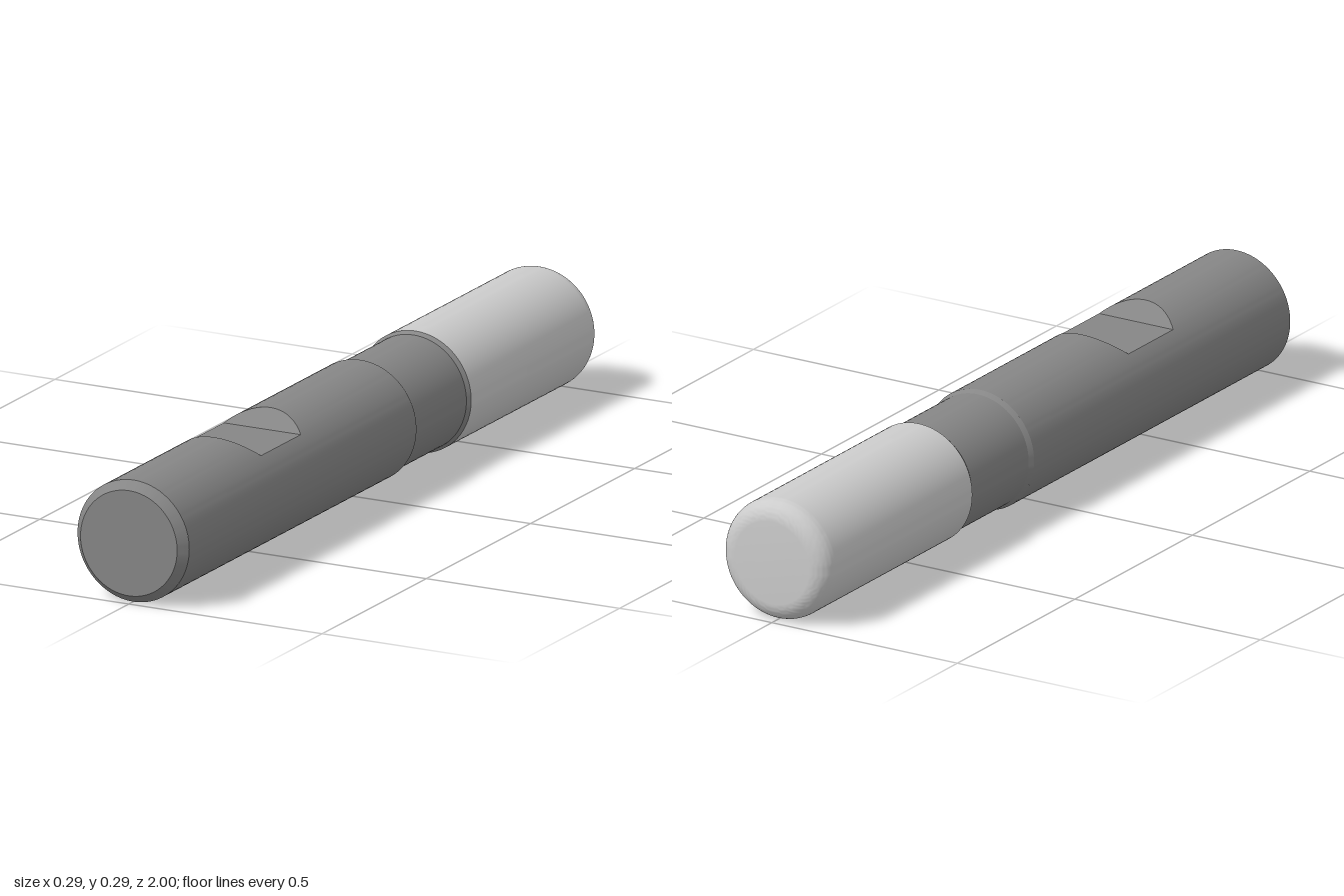
import * as THREE from 'three';
import { toCreasedNormals } from 'three/addons/utils/BufferGeometryUtils.js';

const R = 0.1445;           // main radius, also the height of the axis
const FLOOR = 0.1045;       // height of the clamping flat above the axis
const FLAT_FRONT = 0.55, FLAT_BACK = 0.36;
const SHANK_FRONT = 0.978, SHANK_BACK = -0.112;

const dark = new THREE.MeshStandardMaterial({ color: 0x868686 });
const light = new THREE.MeshStandardMaterial({ color: 0xcccccc });

function part(name, geometry, material) {
  const mesh = new THREE.Mesh(toCreasedNormals(geometry, 0.4), material);
  mesh.name = name;
  return mesh;
}

// Turned part along z; profile is [radius, z] from back to front
function turned(name, profile, material) {
  const points = profile.map(([r, z]) => new THREE.Vector2(r, z));
  return part(name, new THREE.LatheGeometry(points, 96).rotateX(Math.PI / 2), material);
}

// Cylinder with a flat cut in its top, closed by 45 degree ramps
function notchedShank() {
  const half = Math.acos(FLOOR / R);
  const angles = [];
  for (let i = 0; i < 24; i++) angles.push(-half + (2 * half * i) / 24);
  for (let i = 0; i <= 80; i++) angles.push(half + ((2 * Math.PI - 2 * half) * i) / 80);

  const positions = [], index = [];
  for (const a of angles) {
    const x = R * Math.sin(a), y = R * Math.cos(a);
    const depth = y - FLOOR > 1e-6 ? y - FLOOR : 0;
    const row = [
      [y, SHANK_FRONT], [y, FLAT_FRONT + depth], [y - depth, FLAT_FRONT],
      [y - depth, FLAT_BACK], [y, FLAT_BACK - depth], [y, SHANK_BACK],
    ];
    for (const [py, z] of row) positions.push(x, py, z);
  }
  for (let i = 0; i < angles.length - 1; i++) {
    for (let j = 0; j < 5; j++) {
      const a = i * 6 + j, b = a + 6;
      index.push(a, b, a + 1, b, b + 1, a + 1);
    }
  }
  const geometry = new THREE.BufferGeometry();
  geometry.setAttribute('position', new THREE.Float32BufferAttribute(positions, 3));
  geometry.setIndex(index);
  geometry.computeVertexNormals();
  return part('shank', geometry, dark);
}

export function createModel() {
  const model = new THREE.Group();
  model.name = 'cylindricalTool';

  model.add(notchedShank());

  // Chamfered front end
  model.add(turned('frontChamfer', [[R, SHANK_FRONT], [0.125, 1], [0, 1]], dark));

  // Reduced neck with a sloped shoulder at each end
  model.add(turned('neck', [
    [R, -0.375], [0.1375, -0.365], [0.1375, -0.124], [R, SHANK_BACK],
  ], dark));

  // Cutting head with a rounded back rim
  const fillet = 0.045;
  const head = [[0, -1]];
  for (let i = 0; i <= 12; i++) {
    const a = (i / 12) * Math.PI / 2;
    head.push([R - fillet + fillet * Math.sin(a), -1 + fillet - fillet * Math.cos(a)]);
  }
  head.push([R, -0.375]);
  model.add(turned('head', head, light));

  model.children.forEach((mesh) => { mesh.position.y = R; });
  return model;
}
